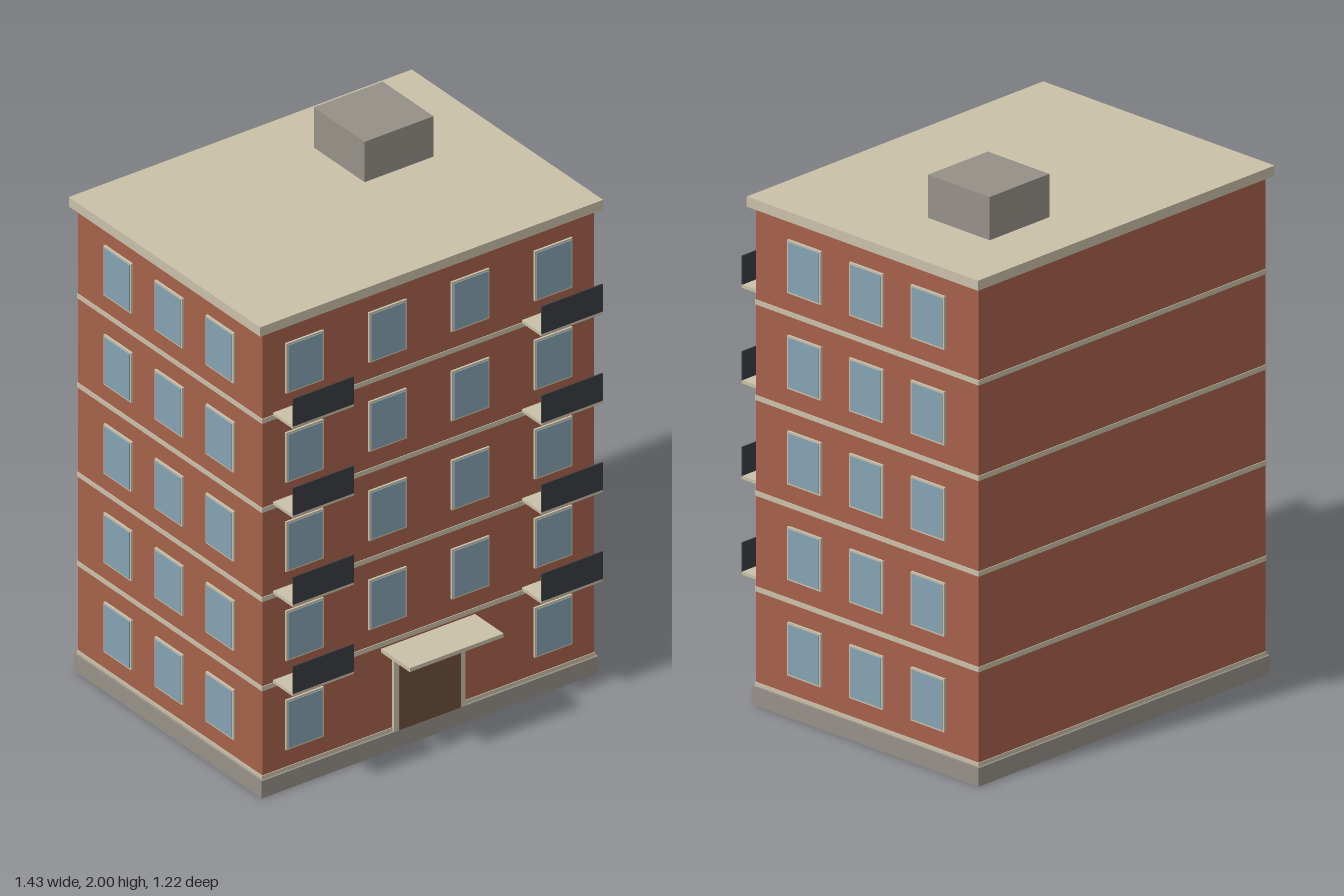
import * as THREE from 'three';

const mat = (name, color) => {
  const m = new THREE.MeshStandardMaterial({ color });
  m.name = name;
  return m;
};

export function createModel() {
  const brick = mat('brick', 0xa5614a);
  const trim = mat('trim', 0xc9c0a8);
  const concrete = mat('concrete', 0x969087);
  const glass = mat('glass', 0x84a2b2);
  const wood = mat('wood', 0x6b4f3a);
  const metal = mat('metal', 0x3a3b42);

  const building = new THREE.Group();
  building.name = 'apartmentBuilding';

  // Box given by its size, centre x and z, and bottom y
  const box = (name, material, w, h, d, x, y, z, parent = building) => {
    const mesh = new THREE.Mesh(new THREE.BoxGeometry(w, h, d), material);
    mesh.name = name;
    mesh.position.set(x, y + h / 2, z);
    parent.add(mesh);
    return mesh;
  };

  const W = 1.386, D = 1.042, midZ = -0.071;
  const front = midZ + D / 2;
  const floors = 5, floorH = 0.347, firstFloor = 0.072;

  // Main masses
  box('plinth', concrete, W + 0.022, 0.067, D + 0.022, 0, 0, midZ);
  box('walls', brick, W, 1.74, D, 0, 0.067, midZ);
  box('roofSlab', trim, W + 0.048, 0.037, D + 0.041, 0, 1.806, midZ);
  box('roofHut', concrete, 0.288, 0.157, 0.288, 0.286, 1.843, -0.245);

  // Window: frame with a pane standing just proud of it, facing +z
  const addWindow = (x, y, z, turn) => {
    const win = new THREE.Group();
    win.name = 'window';
    box('windowFrame', trim, 0.157, 0.194, 0.016, 0, -0.097, 0, win);
    box('windowPane', glass, 0.143, 0.18, 0.006, 0, -0.09, 0.008, win);
    win.position.set(x, y, z);
    win.rotation.y = turn;
    building.add(win);
  };

  for (let i = 0; i < floors; i++) {
    const y = firstFloor + i * floorH;
    const windowY = y + 0.174;

    // Band around each floor line
    box('floorBand', trim, W + 0.006, 0.018, D + 0.006, 0, y - 0.009, midZ);

    for (const side of [-1, 1]) {
      // Front windows; the entrance takes the middle of the ground floor
      addWindow(side * 0.52, windowY, front, 0);
      if (i > 0) addWindow(side * 0.173, windowY, front, 0);

      // Side windows
      for (const k of [-1, 0, 1]) {
        addWindow(side * W / 2, windowY, midZ + k * 0.289, side * Math.PI / 2);
      }

      // Balconies on the upper floors
      if (i > 0) {
        box('balconySlab', trim, 0.255, 0.012, 0.112, side * 0.52, y + 0.006, front + 0.056);
        box('balconyRailing', metal, 0.255, 0.106, 0.005, side * 0.52, y + 0.016, front + 0.1105);
      }
    }
  }

  // Entrance
  box('doorFrame', trim, 0.3, 0.32, 0.02, 0, 0.067, front);
  box('door', wood, 0.256, 0.295, 0.008, 0, 0.067, front + 0.008);
  box('entranceCanopy', trim, 0.392, 0.015, 0.162, 0, 0.387, front + 0.081);

  return building;
}
